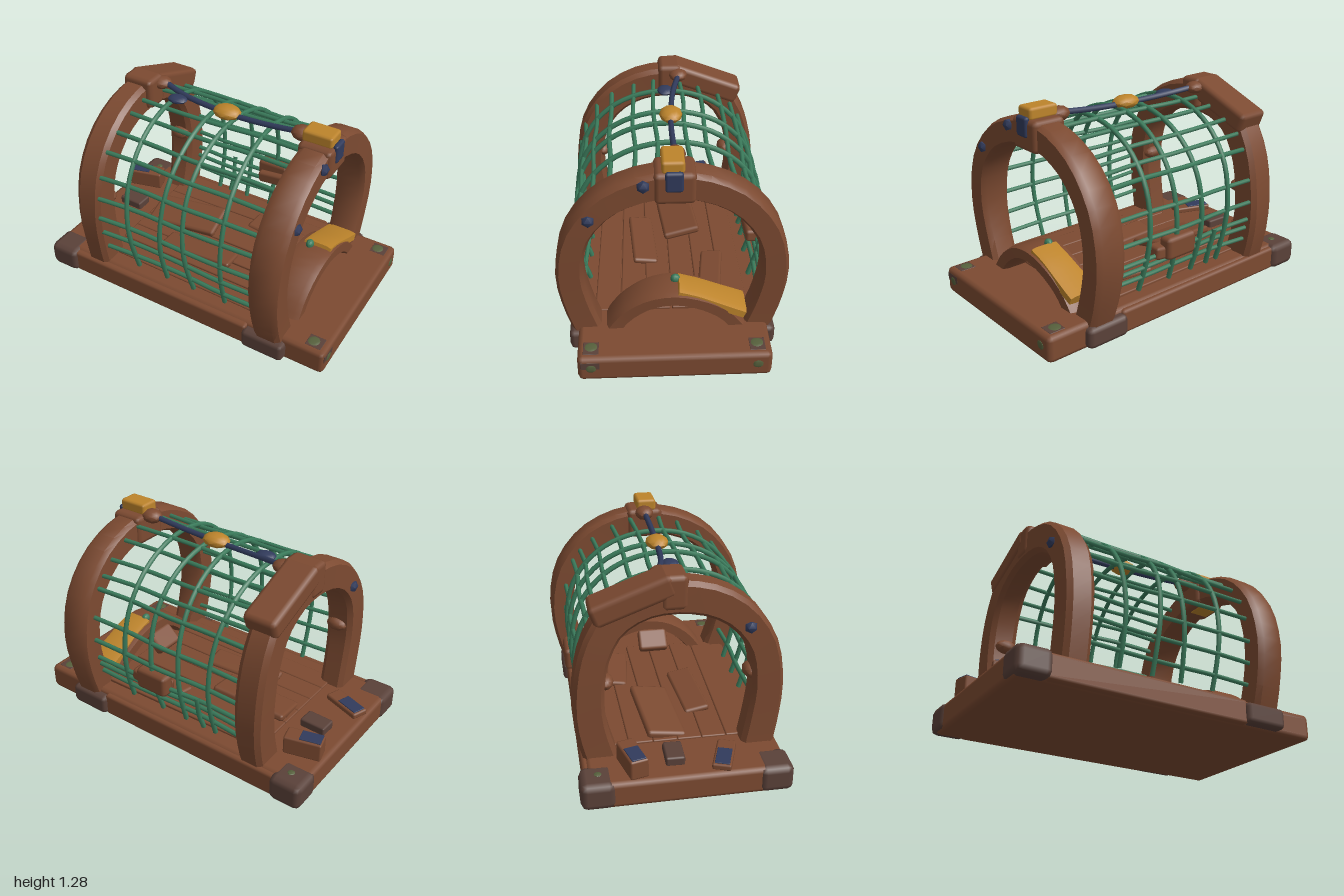
import * as THREE from 'three';
import { toCreasedNormals } from 'three/addons/utils/BufferGeometryUtils.js';
import { RoundedBoxGeometry } from 'three/addons/geometries/RoundedBoxGeometry.js';

const material = (name, color) => Object.assign(new THREE.MeshStandardMaterial({ color }), { name });
const wave = (i) => Math.sin(i * 12.9898 + 1.3);

export function createModel() {
  const wood = material('wood brown', 0x7c4a31);
  const dark = material('dark bracket brown', 0x5a4139);
  const green = material('net green', 0x3b7c5c);
  const blue = material('navy blue', 0x313b5c);
  const yellow = material('ochre yellow', 0xbd842b);
  const moss = material('moss', 0x56603c);
  const root = new THREE.Group();

  const add = (name, geometry, mat, pos = [0, 0, 0], rot = [0, 0, 0]) => {
    const mesh = new THREE.Mesh(geometry, mat);
    mesh.name = name;
    mesh.position.set(...pos);
    mesh.rotation.set(...rot);
    root.add(mesh);
    return mesh;
  };
  const block = (name, size, mat, pos, rot, bevel = 0.02) =>
    add(name, new RoundedBoxGeometry(...size, 1, Math.min(bevel, Math.min(...size) * 0.45)), mat, pos, rot);
  const lump = (name, size, mat, pos, detail = 1) => {
    const g = new THREE.IcosahedronGeometry(1, detail).scale(...size);
    return add(name, toCreasedNormals(g, 0.7), mat, pos);
  };
  // Curve through [z, y] points, in a plane of constant x
  const archCurve = (pts, x = 0) => new THREE.CatmullRomCurve3(pts.map(([z, y]) => new THREE.Vector3(x, y, z)));

  // Sweep a chamfered rectangle along an arch, with a slight hand-carved wobble
  const carvedArch = (curve, width, thick, steps) => {
    const section = [[1, 0.65], [0.75, 1], [-0.75, 1], [-1, 0.65], [-1, -0.65], [-0.75, -1], [0.75, -1], [1, -0.65]];
    const pos = [], index = [], n = section.length;
    for (let i = 0; i <= steps; i++) {
      const p = curve.getPointAt(i / steps), t = curve.getTangentAt(i / steps);
      const a = thick / 2 * (1 + 0.06 * wave(i)), b = width / 2 * (1 + 0.05 * wave(i + 7));
      for (const [s, q] of section) pos.push(p.x + q * b, p.y - t.z * s * a, p.z + t.y * s * a);
    }
    for (let i = 0; i < steps; i++) for (let j = 0; j < n; j++) {
      const k = (j + 1) % n, r = i * n, s = r + n;
      index.push(r + j, r + k, s + k, r + j, s + k, s + j);
    }
    // End caps
    for (let j = 1; j < n - 1; j++) {
      const e = steps * n;
      index.push(0, j + 1, j, e, e + j, e + j + 1);
    }
    const g = new THREE.BufferGeometry();
    g.setAttribute('position', new THREE.Float32BufferAttribute(pos, 3));
    g.setIndex(index);
    return toCreasedNormals(g, 0.6);
  };
  const mirrored = (half) => [...half, ...half.slice(0, -1).reverse().map(([z, y]) => [-z, y])];

  // Base slab
  block('base', [1.97, 0.165, 1.11], wood, [0.003, 0.0865, -0.003], [0, 0, 0], 0.03);

  // Corner brackets, side rails and moss spots
  for (const s of [-1, 1]) {
    block('cornerBracket', [0.21, 0.165, 0.2], dark, [-0.89, 0.09, s * 0.505], [0, 0, 0], 0.04);
    block('sideBracket', [0.28, 0.13, 0.1], dark, [0.605, 0.08, s * 0.557], [0, 0, 0], 0.03);
    block('sideRail', [1.3, 0.15, 0.06], wood, [-0.165, 0.085, s * 0.55]);
    block('cornerPlate', [0.1, 0.006, 0.09], dark, [0.9, 0.168, s * 0.475]);
    lump('mossSpot', [0.038, 0.005, 0.038], moss, [0.89, 0.17, s * 0.475]);
    lump('mossSpot', [0.005, 0.028, 0.03], moss, [0.988, 0.097, s * 0.475]);
  }
  block('cornerEndPlate', [0.006, 0.05, 0.11], dark, [0.986, 0.115, 0.48]);
  lump('mossSpot', [0.022, 0.006, 0.022], moss, [-0.88, 0.173, -0.5]);

  // Right and left hoops
  const bigHalf = [[0.485, 0.1], [0.555, 0.33], [0.585, 0.55], [0.535, 0.8], [0.39, 0.99], [0.2, 1.09], [0, 1.12]];
  add('rightHoop', carvedArch(archCurve(mirrored(bigHalf), 0.63), 0.185, 0.16, 30), wood);
  const leftPts = [[0.45, 0.1], [0.49, 0.35], [0.505, 0.55], [0.465, 0.8], [0.35, 0.975], [0.19, 1.08], [0, 1.12],
    [-0.2, 1.1], [-0.38, 0.99], [-0.48, 0.8], [-0.52, 0.55], [-0.51, 0.35], [-0.45, 0.1]];
  add('leftHoop', carvedArch(archCurve(leftPts, -0.635), 0.17, 0.185, 30), wood);
  block('leftHoopCap', [0.21, 0.13, 0.48], wood, [-0.625, 1.12, -0.265], [-0.36, 0, 0], 0.03);
  block('leftHoopWrap', [0.21, 0.2, 0.15], wood, [-0.62, 1.155, -0.04], [0, 0, 0], 0.03);
  block('rightHoopWrap', [0.215, 0.19, 0.23], wood, [0.63, 1.12, -0.01], [0, 0, 0], 0.03);
  for (const s of [-1, 1]) lump('hoopKnob', [0.07, 0.045, 0.05], wood, [-0.62, 0.61, s * 0.42]);

  // Net: long strands between hoops and crossing bands over them
  const netHalf = bigHalf.map(([z, y]) => [z * 0.975, y + 0.035]);
  const netCurve = archCurve(mirrored(netHalf));
  const frontStrands = [0.057, 0.11, 0.16, 0.213, 0.26, 0.315, 0.365, 0.424, 0.472];
  const backStrands = [0.057, 0.085, 0.11, 0.16, 0.213, 0.28, 0.315, 0.36, 0.416, 0.462];
  [...frontStrands, ...backStrands.map((u) => 1 - u)].forEach((u, i) => {
    const p = netCurve.getPointAt(u);
    const pts = [-0.56, -0.28, 0, 0.28, 0.55].map((x, k) =>
      new THREE.Vector3(x, p.y + 0.012 * wave(i * 3 + k), p.z * (k % 4 ? 0.99 : 1) + 0.008 * wave(i + k * 5)));
    add('netStrand', new THREE.TubeGeometry(new THREE.CatmullRomCurve3(pts), 10, 0.0145, 6), green);
  });
  // [x, start, end] along the net's arc; the last band is a short rear one
  [[-0.36, 0.025, 0.975], [-0.11, 0.025, 0.975], [0.06, 0.025, 0.975], [0.29, 0.025, 0.975], [-0.25, 0.88, 0.975]]
    .forEach(([x, from, to], b) => {
      const pts = [];
      for (let i = 0; i <= 16; i++) {
        const p = netCurve.getPointAt(from + (to - from) * i / 16);
        pts.push(p.setX(x + (b < 4 ? 0.018 : 0.004) * wave(b * 9 + i)));
      }
      add('netBand', new THREE.TubeGeometry(new THREE.CatmullRomCurve3(pts), 48, 0.0155, 6), green);
    });

  // Ridge rope with float and end knots
  const rope = [[-0.52, 1.21, -0.1], [-0.32, 1.185, -0.05], [0, 1.175, -0.02], [0.25, 1.185, -0.015], [0.55, 1.215, -0.02]];
  add('ridgeRope', new THREE.TubeGeometry(
    new THREE.CatmullRomCurve3(rope.map((p) => new THREE.Vector3(...p))), 24, 0.018, 6), blue);
  lump('ropeFloat', [0.09, 0.042, 0.07], yellow, [0, 1.185, -0.02]);
  lump('ropeKnot', [0.065, 0.022, 0.05], blue, [-0.34, 1.178, 0]);
  lump('ropeEnd', [0.07, 0.045, 0.06], wood, [0.5, 1.205, -0.02]);
  lump('ropeEnd', [0.07, 0.04, 0.06], wood, [-0.52, 1.2, -0.09]);

  // Buckle with its strap and underside plate, and hoop studs
  block('buckle', [0.19, 0.075, 0.125], yellow, [0.625, 1.243, 0], [0, 0, 0], 0.018);
  block('buckleStrap', [0.035, 0.12, 0.1], blue, [0.732, 1.17, -0.005]);
  block('buckleUnderPlate', [0.13, 0.009, 0.1], yellow, [0.64, 1.025, 0]);
  for (const [x, y, z] of [[0.727, 1.14, 0.16], [0.727, 0.93, 0.46], [-0.725, 0.93, 0.38]])
    lump('stud', [0.027, 0.038, 0.038], blue, [x, y, z], 0);

  // Entrance arch with its yellow cover leaning over the rear half
  const low = [[0.36, 0.13], [0.27, 0.25], [0.13, 0.345], [-0.02, 0.37], [-0.17, 0.33], [-0.3, 0.25], [-0.4, 0.13]];
  add('entranceArch', carvedArch(archCurve(low, 0.635), 0.215, 0.085, 16), wood);
  const cover = [[-0.03, 0.4], [-0.14, 0.365], [-0.27, 0.31], [-0.42, 0.247]];
  add('entranceCover', carvedArch(archCurve(cover, 0.645), 0.185, 0.062, 8), yellow);
  block('entranceBrace', [0.15, 0.07, 0.2], wood, [0.495, 0.265, 0.03], [0, 0, 0.75]);
  lump('netTuft', [0.025, 0.03, 0.03], green, [0.6, 0.42, -0.02]);

  // Floor planks inside
  for (let i = 0; i < 6; i++)
    block('floorPlank', [1.2, 0.03, 0.145], wood, [-0.02, 0.165 + 0.005 * wave(i), -0.375 + i * 0.15],
      [0, 0.02 * wave(i + 2), 0.005 * wave(i)], 0.008);
  block('loosePlank', [0.5, 0.05, 0.24], wood, [-0.35, 0.21, -0.08], [0.2, 0.1, 0.06]);
  block('loosePlank', [0.4, 0.04, 0.14], wood, [0.25, 0.19, -0.26], [0.1, -0.12, 0.03]);
  block('loosePlank', [0.5, 0.04, 0.16], wood, [-0.1, 0.19, 0.16], [-0.15, 0.06, 0.02]);

  // Rear ledge block hanging on the net
  block('rearBlock', [0.22, 0.14, 0.09], wood, [0.06, 0.45, -0.565], [0, 0, 0], 0.025);
  block('rearBlockLip', [0.26, 0.08, 0.1], wood, [0.1, 0.42, -0.53], [0, 0, 0.1]);

  // Planks and blue patches on the left deck
  const deck = [
    { size: [0.23, 0.12, 0.11], pos: [-0.84, 0.225, -0.3], turn: 0.25, mat: wood, patch: [0.13, -0.04] },
    { size: [0.17, 0.06, 0.11], pos: [-0.78, 0.19, -0.055], turn: -0.03, mat: dark },
    { size: [0.26, 0.04, 0.11], pos: [-0.83, 0.183, 0.23], turn: -0.35, mat: wood, patch: [0.15, -0.04] },
  ];
  for (const { size, pos: [x, y, z], turn, mat, patch } of deck) {
    block('deckPlank', size, mat, [x, y, z], [0, turn, 0], 0.012);
    if (patch) block('deckPatch', [patch[0], 0.008, 0.085], blue,
      [x + patch[1], y + size[1] / 2 + 0.002, z - patch[1] * Math.sin(turn)], [0, turn, 0], 0.003);
  }
  return root;
}
